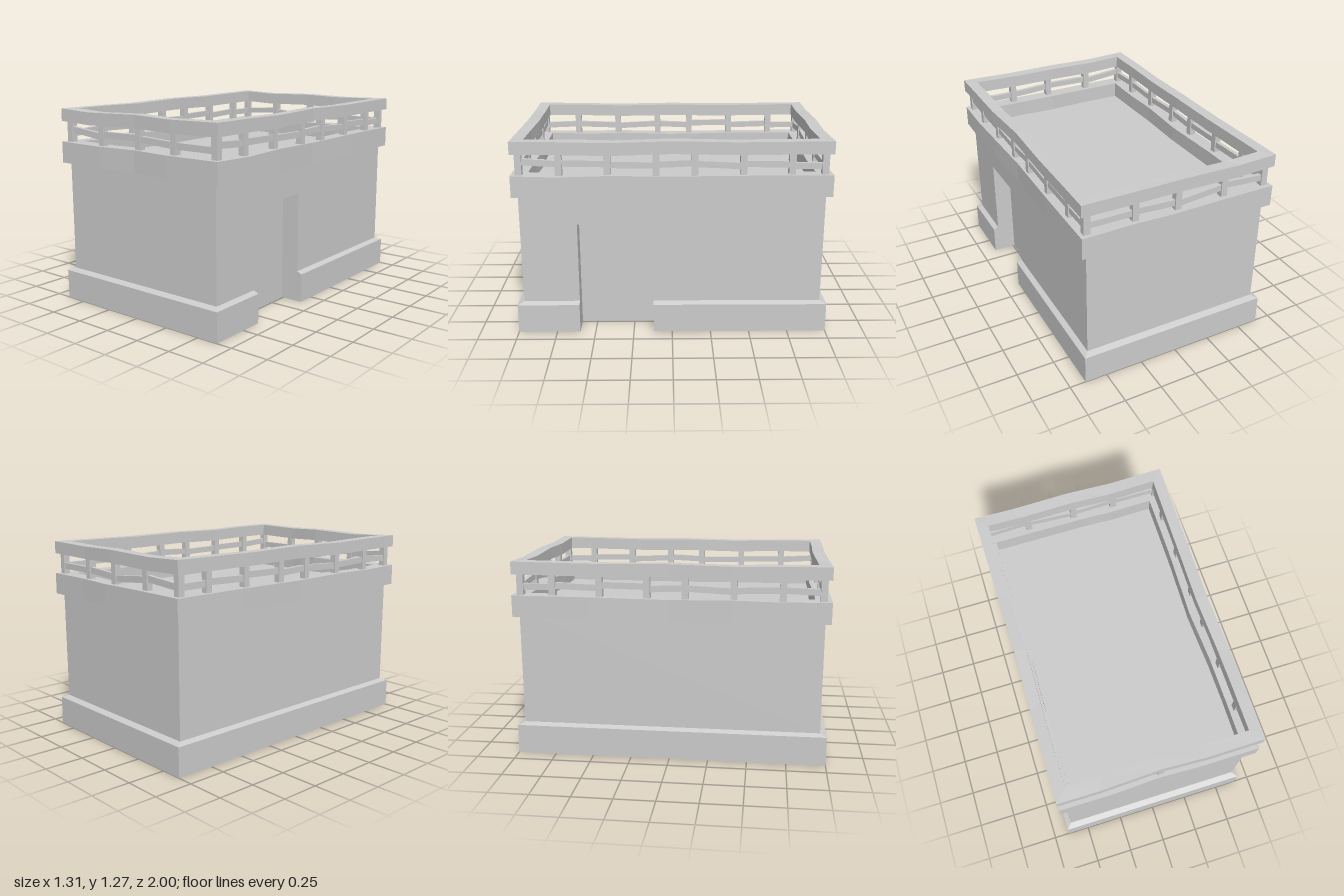
import * as THREE from 'three';

const material = new THREE.MeshStandardMaterial({ color: 0xcccccc, flatShading: true, side: THREE.DoubleSide });

// Skin a row of cross-sections (arrays of [x, y, z]) with flat quads.
function loft(sections, closed) {
  const pos = [];
  const n = sections.length, m = sections[0].length;
  for (let i = 0; i < (closed ? n : n - 1); i++) {
    for (let j = 0; j < (closed ? m : m - 1); j++) {
      const p = sections[i], q = sections[(i + 1) % n], k = (j + 1) % m;
      pos.push(...p[j], ...p[k], ...q[k], ...p[j], ...q[k], ...q[j]);
    }
  }
  const geo = new THREE.BufferGeometry();
  geo.setAttribute('position', new THREE.Float32BufferAttribute(pos, 3));
  geo.computeVertexNormals();
  return geo;
}

// Side order: left (+x), front, right (-x), back. Maps (along, out) to x, z.
const sides = [
  (a, o) => [o, a],
  (a, o) => [-a, o],
  (a, o) => [-o, -a],
  (a, o) => [a, -o],
];

// Uneven rectangular frame; each wave entry is [along (-1..1), rise, outward shift].
function wavyFrame(outX, outZ, inX, inZ, y0, y1, waves) {
  const sections = [];
  sides.forEach((place, s) => {
    const long = s % 2 === 0;
    const [oA, oN, iA, iN] = long ? [outZ, outX, inZ, inX] : [outX, outZ, inX, inZ];
    for (const [t, dy, dn] of [[-1, 0, 0], ...waves[s]]) {
      const [ox, oz] = place(t * oA, oN + dn);
      const [ix, iz] = place(t * iA, iN + dn);
      sections.push([[ox, y0 + dy, oz], [ox, y1 + dy, oz], [ix, y1 + dy, iz], [ix, y0 + dy, iz]]);
    }
  });
  return loft(sections, true);
}

export function createModel() {
  const model = new THREE.Group();
  const add = (name, geo, parent = model) => {
    const mesh = new THREE.Mesh(geo, material);
    mesh.name = name;
    parent.add(mesh);
    return mesh;
  };

  // Walls with plinth and bevel, one open strip from one door jamb round to the other
  const D0 = 0.12, D1 = 0.6, doorTop = 0.73, wallX = 0.61, backX = 0.49, roofY = 0.95;
  const profile = [[0.645, 1, 0], [0.645, 1, 0.19], [wallX, 0.96, 0.205], [wallX, 0.96, roofY]];
  const corners = [[1, null, D1], [1, 1], [-1, 1], [-1, -1], [1, -1], [1, null, D0]];
  add('walls', loft(corners.map(([sx, sz, z]) =>
    profile.map(([x, zz, y]) => [sx * x, y, sz === null ? z : sz * zz])), false));

  // Wall above the door
  const doorZ = (D0 + D1) / 2, doorW = D1 - D0;
  const lintel = add('wallAboveDoor', new THREE.PlaneGeometry(doorW, roofY - doorTop).rotateY(Math.PI / 2));
  lintel.position.set(wallX, (roofY + doorTop) / 2, doorZ);

  // Door recess: back panel, soffit and two jambs
  const recess = new THREE.Group();
  recess.name = 'doorRecess';
  model.add(recess);
  add('doorPanel', new THREE.PlaneGeometry(doorW, doorTop).rotateY(Math.PI / 2), recess)
    .position.set(backX, doorTop / 2, doorZ);
  add('doorSoffit', new THREE.PlaneGeometry(wallX - backX, doorW).rotateX(Math.PI / 2), recess)
    .position.set((wallX + backX) / 2, doorTop, doorZ);
  const jamb = new THREE.Shape([[backX, 0], [0.645, 0], [0.645, 0.19], [wallX, 0.205], [wallX, doorTop], [backX, doorTop]]
    .map(([x, y]) => new THREE.Vector2(x, y)));
  for (const z of [D0, D1]) add('doorJamb', new THREE.ShapeGeometry(jamb), recess).position.z = z;

  // Flat roof
  add('roof', new THREE.PlaneGeometry(2 * wallX, 1.92).rotateX(-Math.PI / 2)).position.y = roofY;

  // Parapet band and hand rail, both slightly warped
  add('parapet', wavyFrame(0.65, 0.995, 0.555, 0.895, 0.92, 1.058, [
    [[-0.5, 0, -0.003], [0, -0.008, -0.016], [0.4, 0.001, 0], [0.7, -0.007, 0.003]],
    [[-0.4, -0.002, 0], [0, 0.002, -0.01], [0.45, -0.002, 0.002]],
    [[-0.7, -0.006, 0], [-0.4, 0, 0.002], [0, -0.008, -0.008], [0.5, -0.001, 0]],
    [[-0.4, 0, 0], [0.1, -0.003, 0.002], [0.5, 0, -0.006]],
  ]));
  add('handRail', wavyFrame(0.65, 0.99, 0.575, 0.91, 1.192, 1.272, [
    [[-0.75, -0.002, -0.004], [-0.4, -0.006, -0.008], [0, 0, -0.016], [0.4, -0.008, -0.002], [0.7, -0.001, 0]],
    [[-0.45, -0.007, 0], [0, 0, -0.012], [0.6, -0.01, 0]],
    [[-0.7, -0.002, 0], [-0.4, -0.008, -0.003], [0, 0, -0.01], [0.4, -0.006, -0.004]],
    [[-0.6, -0.009, 0], [0, 0, 0.002], [0.45, -0.006, -0.006]],
  ]));

  // Balustrade: posts on each side and sloping middle rails between them
  const balustrade = new THREE.Group();
  balustrade.name = 'balustrade';
  model.add(balustrade);
  const postX = 0.604, postZ = 0.945, size = 0.042;
  const longStops = [-postZ, -0.74, -0.44, -0.14, 0.1, 0.4, 0.7, postZ];
  const shortStops = [-postX, -0.295, -0.01, 0.31, postX];
  const mirrored = (list) => list.map((v) => -v).reverse();
  const stops = [longStops, shortStops, mirrored(longStops), mirrored(shortStops)];
  // Start and end height of the middle rail in each bay
  const rails = [
    [[1.11, 1.11], [1.12, 1.125], [1.11, 1.125], [1.13, 1.12], [1.115, 1.12], [1.125, 1.13], [1.125, 1.14]],
    [[1.11, 1.11], [1.11, 1.125], [1.13, 1.125], [1.11, 1.14]],
    [[1.11, 1.12], [1.12, 1.11], [1.105, 1.12], [1.12, 1.11], [1.125, 1.13], [1.11, 1.12], [1.11, 1.11]],
    [[1.11, 1.13], [1.12, 1.09], [1.1, 1.115], [1.11, 1.11]],
  ];
  sides.forEach((place, s) => {
    const out = s % 2 === 0 ? postX : postZ;
    stops[s].forEach((a, i) => {
      const [x, z] = place(a, out);
      // The last post of a side is the first of the next one
      if (i < stops[s].length - 1) {
        add('post', new THREE.BoxGeometry(size, 0.16, size), balustrade).position.set(x, 1.122, z);
        const [r0, r1] = rails[s][i];
        const ends = [[a, r0], [stops[s][i + 1], r1]].map(([t, y]) => {
          const [ox, oz] = place(t, out + 0.013), [ix, iz] = place(t, out - 0.013);
          return [[ox, y - 0.02, oz], [ox, y + 0.02, oz], [ix, y + 0.02, iz], [ix, y - 0.02, iz], [ox, y - 0.02, oz]];
        });
        add('middleRail', loft(ends, false), balustrade);
      }
    });
  });

  return model;
}
